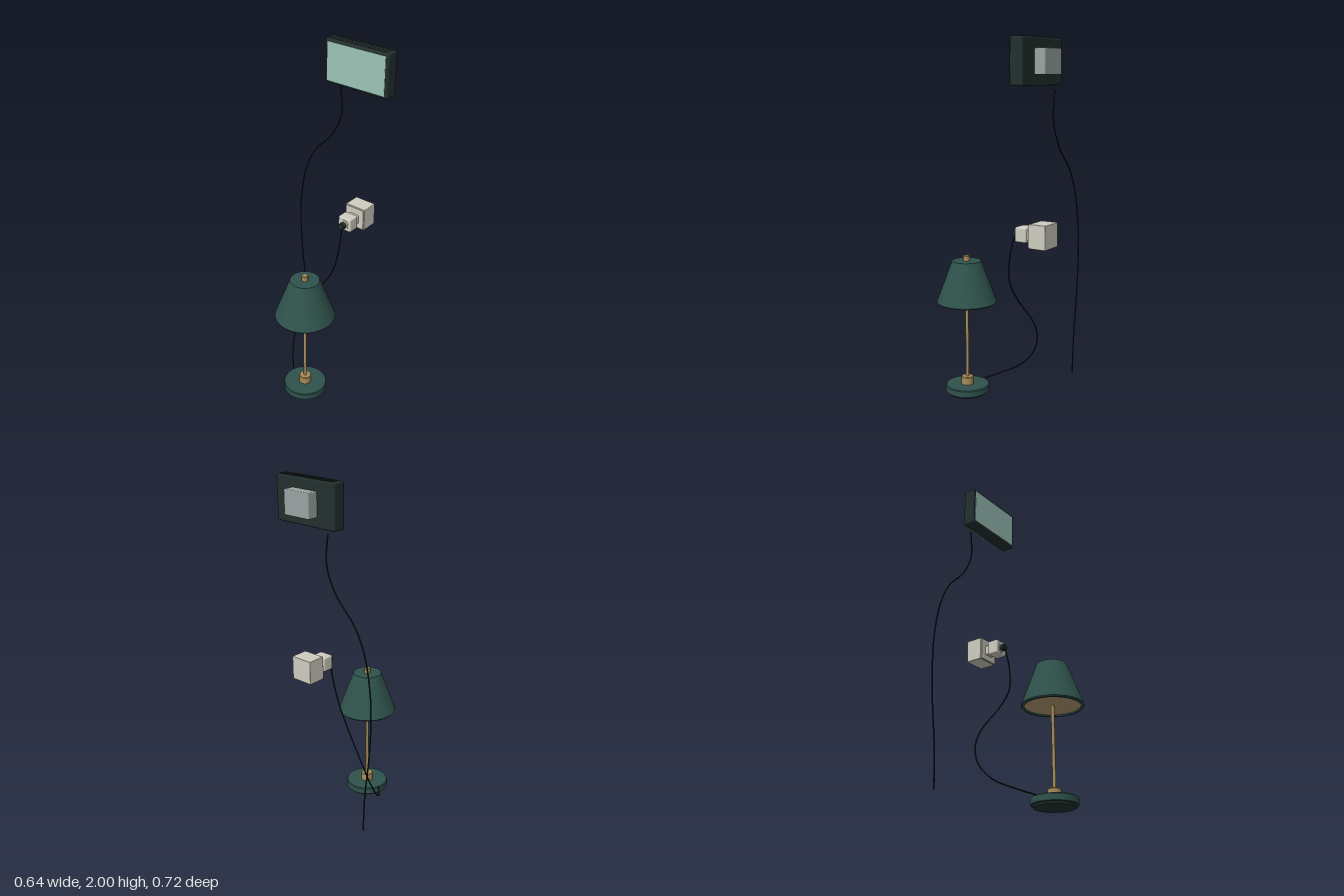
import * as THREE from 'three';
import { toCreasedNormals } from 'three/addons/utils/BufferGeometryUtils.js';
import { RoundedBoxGeometry } from 'three/addons/geometries/RoundedBoxGeometry.js';

const mat = (name, color) => {
  const m = new THREE.MeshStandardMaterial({ color });
  m.name = name;
  return m;
};

export function createModel() {
  const root = new THREE.Group();
  root.name = 'lampWithScreenAndSocket';

  const green = mat('deepGreen', 0x2f524c);
  const brass = mat('brass', 0xa98c58);
  const lining = mat('shadeLining', 0xb59a70);
  const dark = mat('darkCasing', 0x22302e);
  const black = mat('cableBlack', 0x151d1c);
  const glass = mat('paleTealScreen', 0x9cc4b8);
  const grey = mat('greyMount', 0x9aa5a2);
  const cream = mat('creamPlastic', 0xcfcdc0);

  const add = (parent, name, geo, material, x = 0, y = 0, z = 0) => {
    const mesh = new THREE.Mesh(geo, material);
    mesh.name = name;
    mesh.position.set(x, y, z);
    parent.add(mesh);
    return mesh;
  };
  const group = (name, x, y, z) => {
    const g = new THREE.Group();
    g.name = name;
    g.position.set(x, y, z);
    root.add(g);
    return g;
  };
  const rounded = (w, h, d, r) => new RoundedBoxGeometry(w, h, d, 2, r);
  // Turned part from [radius, height] pairs listed bottom to top
  const turned = (profile, segments = 40) => toCreasedNormals(
    new THREE.LatheGeometry(profile.map(([r, y]) => new THREE.Vector2(r, y)), segments), 0.5);
  const cable = (name, points) => {
    const curve = new THREE.CatmullRomCurve3(points.map((p) => new THREE.Vector3(...p)));
    add(root, name, new THREE.TubeGeometry(curve, 90, 0.004, 8), black);
  };

  // Table lamp
  const lamp = group('tableLamp', 0.116, 0, 0.19);
  add(lamp, 'baseFoot', turned([[0, 0], [0.11, 0], [0.11, 0.012]]), dark);
  add(lamp, 'base', turned([[0, 0.01], [0.12, 0.01], [0.125, 0.014], [0.125, 0.047], [0.121, 0.052], [0, 0.052]]), green);
  add(lamp, 'stemCollar', turned([[0.035, 0.05], [0.035, 0.094], [0.032, 0.097], [0, 0.097]], 24), brass);
  add(lamp, 'stem', new THREE.CylinderGeometry(0.009, 0.009, 0.7, 16), brass, 0, 0.43, 0);
  add(lamp, 'finial', turned([[0.019, 0.775], [0.019, 0.807], [0.016, 0.81], [0, 0.81]], 16), brass);
  add(lamp, 'shade', turned([[0.152, 0.558], [0.152, 0.538], [0.166, 0.538], [0.17, 0.545],
    [0.082, 0.78], [0, 0.78]]), green);
  const disc = add(lamp, 'shadeLining', new THREE.CircleGeometry(0.154, 40), lining, 0, 0.546, 0);
  disc.rotation.x = Math.PI / 2;

  // Wall screen
  const screen = group('wallScreen', 0.116, 1.877, -0.26);
  add(screen, 'casing', rounded(0.402, 0.242, 0.076, 0.01), dark);
  add(screen, 'bezel', rounded(0.39, 0.232, 0.02, 0.005), dark, 0, 0, 0.03);
  add(screen, 'display', new THREE.BoxGeometry(0.368, 0.212, 0.004), glass, 0, 0.001, 0.0395);
  add(screen, 'rearMount', rounded(0.171, 0.132, 0.064, 0.005), grey, 0, 0, -0.068);
  // Ribs along the top edge
  for (let i = 0; i < 17; i++) {
    add(screen, 'ventRib', new THREE.BoxGeometry(0.009, 0.006, 0.058), dark, (i - 8) * 0.0215, 0.12, -0.001);
  }

  // Wall socket with plug
  const socket = group('wallSocket', 0.116, 0.977, 0);
  add(socket, 'socketBox', rounded(0.132, 0.132, 0.1, 0.004), cream, 0, 0, -0.308);
  add(socket, 'socketPlate', rounded(0.126, 0.126, 0.01, 0.004), cream, 0, 0, -0.256);
  add(socket, 'plugNeck', rounded(0.06, 0.055, 0.05, 0.006), cream, 0, -0.004, -0.24);
  add(socket, 'plugBody', rounded(0.087, 0.083, 0.07, 0.01), cream, 0, -0.003, -0.191);
  const face = add(socket, 'plugCollar', new THREE.CylinderGeometry(0.03, 0.03, 0.006, 20), cream, 0, -0.005, -0.155);
  face.rotation.x = Math.PI / 2;
  const grip = add(socket, 'cableGrip',
    turned([[0, -0.015], [0.02, -0.015], [0.02, 0.011], [0.016, 0.015], [0, 0.015]], 12), dark, 0, -0.006, -0.14);
  grip.rotation.x = Math.PI / 2;

  // Cables
  cable('lampCable', [[0.116, 0.968, -0.14], [0.12, 0.94, -0.127], [0.122, 0.82, -0.101], [0.097, 0.69, -0.086],
    [0.03, 0.575, -0.097], [-0.095, 0.415, -0.126], [-0.148, 0.31, -0.12], [-0.165, 0.205, -0.08],
    [-0.137, 0.125, -0.008], [-0.07, 0.078, 0.085], [0.01, 0.045, 0.17]]);
  cable('screenCable', [[-0.028, 1.735, -0.287], [-0.015, 1.6, -0.287], [-0.03, 1.525, -0.287], [-0.09, 1.415, -0.288],
    [-0.205, 1.29, -0.289], [-0.27, 1.155, -0.289], [-0.308, 0.97, -0.29], [-0.317, 0.8, -0.29],
    [-0.303, 0.55, -0.29], [-0.275, 0.31, -0.29], [-0.264, 0.09, -0.29]]);

  return root;
}
